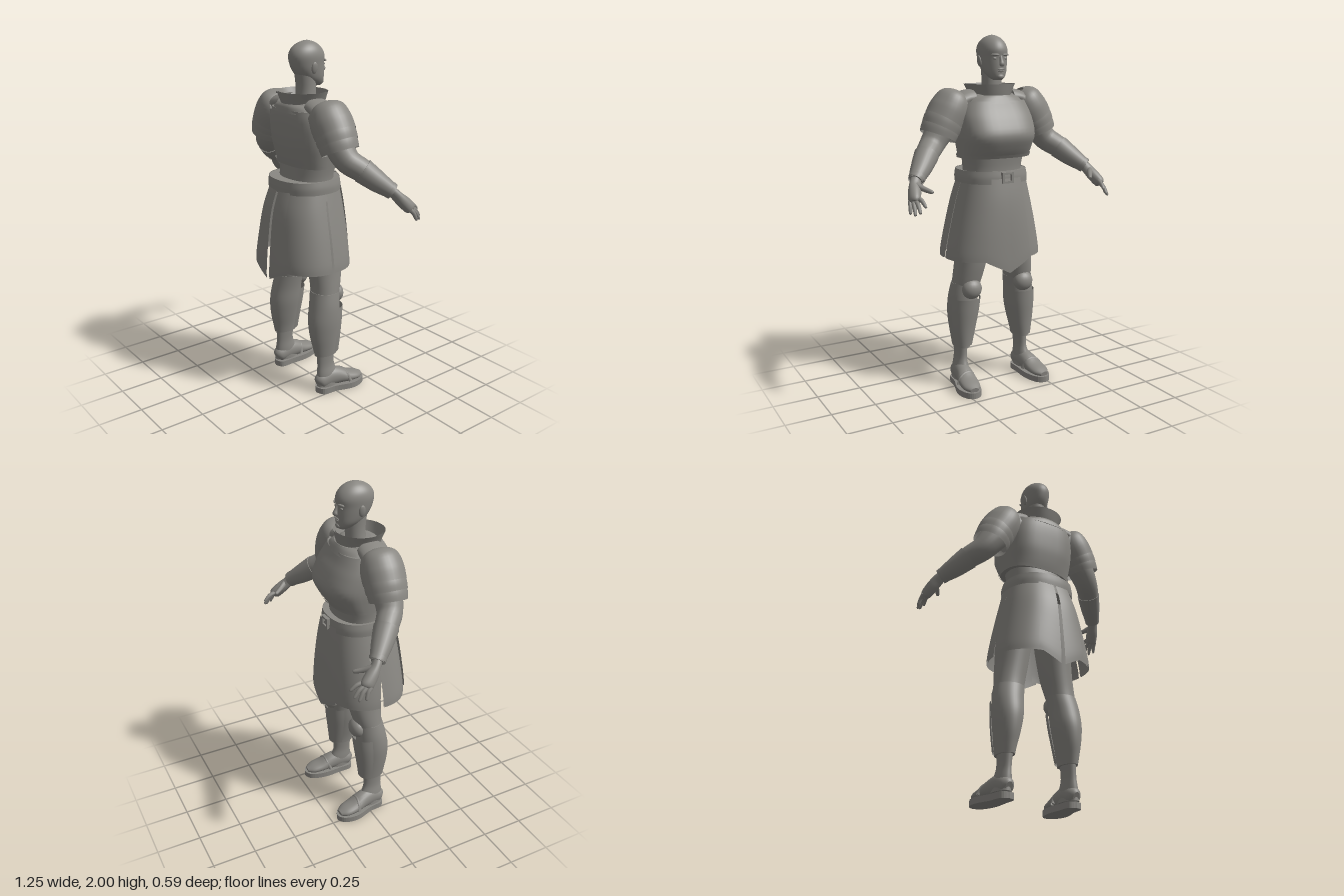
import * as THREE from 'three';

const grey = new THREE.MeshStandardMaterial({ color: 0x898782, side: THREE.DoubleSide });
grey.name = 'plain grey';
const V = (x, y, z) => new THREE.Vector3(x, y, z);
const rad = THREE.MathUtils.degToRad;

// Catmull-Rom subdivision of rows of numbers
function smooth(rows, steps) {
  const out = [], last = rows.length - 1;
  const at = i => rows[Math.max(0, Math.min(last, i))];
  for (let i = 0; i < last; i++) for (let s = 0; s < steps; s++) {
    const t = s / steps, [a, b, c, d] = [at(i - 1), at(i), at(i + 1), at(i + 2)];
    out.push(b.map((_, k) => {
      const cubic = 3 * (b[k] - c[k]) + d[k] - a[k];
      const square = 2 * a[k] - 5 * b[k] + 4 * c[k] - d[k];
      return b[k] + 0.5 * t * (c[k] - a[k] + t * (square + t * cubic));
    }));
  }
  out.push(rows[last]);
  return out;
}

// Skin a stack of rings; full rings wrap round and may be capped
function skin(rings, closed, caps) {
  const pos = [], idx = [], n = rings[0].length;
  rings.forEach(r => r.forEach(p => pos.push(p.x, p.y, p.z)));
  for (let i = 0; i < rings.length - 1; i++) for (let j = 0; j < (closed ? n : n - 1); j++) {
    const k = (j + 1) % n, a = i * n + j, b = i * n + k;
    idx.push(a, b, b + n, a, b + n, a + n);
  }
  if (closed && caps) [0, rings.length - 1].forEach((ri, end) => {
    const base = pos.length / 3, mid = V(0, 0, 0);
    rings[ri].forEach(p => { pos.push(p.x, p.y, p.z); mid.addScaledVector(p, 1 / n); });
    pos.push(mid.x, mid.y, mid.z);
    for (let j = 0; j < n; j++) {
      const k = (j + 1) % n;
      idx.push(base + n, base + (end ? j : k), base + (end ? k : j));
    }
  });
  const g = new THREE.BufferGeometry();
  g.setAttribute('position', new THREE.Float32BufferAttribute(pos, 3));
  g.setIndex(idx);
  g.computeVertexNormals();
  return g;
}

// Upright form from rows [y, centreX, halfWidth, zFront, zBack, power]; angle 0 is the back (+z)
function hull(rows, { a0 = 0, a1 = 360, caps = true, steps = 4, n = 40 } = {}) {
  const closed = a1 - a0 >= 360, upward = [...rows].sort((a, b) => a[0] - b[0]);
  const rings = smooth(upward, steps).map(([y, cx, w, zf, zb, p]) => Array.from({ length: n }, (_, j) => {
    const a = rad(a0 + (a1 - a0) * j / (closed ? n : n - 1)), c = Math.cos(a), s = Math.sin(a);
    const f = v => Math.sign(v) * Math.abs(v) ** (2 / p);
    return V(cx + w * f(s), y, (zf + zb) / 2 + (zb - zf) / 2 * f(c));
  }));
  return skin(rings, closed, caps);
}

// Tapering form along a path, rows [x, y, z, radius, depthRadius]; depth is measured towards ref
function limb(rows, { caps = true, steps = 4, n = 24, ref = V(0, 0, 1) } = {}) {
  const r = smooth(rows, steps), c = r.map(q => V(q[0], q[1], q[2]));
  const rings = r.map((q, i) => {
    const d = c[Math.min(i + 1, c.length - 1)].clone().sub(c[Math.max(i - 1, 0)]).normalize();
    const v = ref.clone().addScaledVector(d, -d.dot(ref)).normalize();
    const u = v.clone().cross(d);
    return Array.from({ length: n }, (_, j) => {
      const a = j / n * Math.PI * 2;
      return c[i].clone().addScaledVector(u, Math.cos(a) * q[3]).addScaledVector(v, Math.sin(a) * (q[4] ?? q[3]));
    });
  });
  return skin(rings, true, caps);
}

export function createModel() {
  const root = new THREE.Group();
  root.name = 'armouredFigure';
  const add = (name, geo, parent = root) => {
    const m = new THREE.Mesh(geo, grey);
    m.name = name;
    parent.add(m);
    return m;
  };
  const ball = (name, x, y, z, rx, ry, rz, parent) => {
    const m = add(name, new THREE.SphereGeometry(1, 20, 14), parent);
    m.position.set(x, y, z);
    m.scale.set(rx, ry, rz);
    return m;
  };

  // Head and neck, face towards -z
  add('neck', hull([[1.6, 0, .075, -.04, .1, 2], [1.68, 0, .06, -.03, .085, 2], [1.75, 0, .055, -.03, .08, 2], [1.83, 0, .057, -.03, .09, 2]]));
  add('head', hull([[1.757, 0, .022, -.07, -.02, 2], [1.772, 0, .042, -.082, .02, 2], [1.80, 0, .06, -.083, .065, 2.1],
    [1.84, 0, .07, -.083, .102, 2.1], [1.88, 0, .075, -.082, .12, 2.1], [1.92, 0, .077, -.085, .127, 2.1],
    [1.955, 0, .068, -.07, .115, 2], [1.982, 0, .046, -.04, .083, 2], [1.996, 0, .02, -.005, .045, 2], [2, 0, .004, .015, .025, 2]]));
  add('nose', limb([[0, 1.885, -.078, .008, .008], [0, 1.86, -.087, .010, .010], [0, 1.843, -.092, .015, .013], [0, 1.835, -.086, .01, .008]], { n: 14 }));
  ball('upperLip', 0, 1.815, -.082, .022, .006, .008);
  ball('lowerLip', 0, 1.805, -.081, .018, .006, .008);
  ball('chin', 0, 1.776, -.077, .02, .014, .012);
  for (const s of [-1, 1]) {
    ball('brow', s * .032, 1.893, -.075, .024, .007, .009).rotation.y = -s * .3;
    ball('eye', s * .031, 1.873, -.07, .013, .007, .008);
    ball('ear', s * .077, 1.86, .025, .009, .032, .019).rotation.z = -s * .15;
  }

  // Torso: collar, shoulders, breastplate and waist
  add('collar', hull([[1.645, 0, .112, -.07, .155, 2], [1.69, 0, .124, -.08, .172, 2], [1.735, 0, .146, -.088, .187, 2]], { caps: false }));
  add('collarLining', hull([[1.65, 0, .104, -.062, .147, 2], [1.69, 0, .116, -.072, .164, 2], [1.735, 0, .138, -.08, .179, 2]], { caps: false }));
  add('shoulders', hull([[1.5, 0, .21, -.13, .165, 2.5], [1.6, 0, .205, -.09, .165, 2.5], [1.65, 0, .18, -.07, .16, 2.3], [1.69, 0, .115, -.05, .14, 2], [1.7, 0, .07, -.03, .11, 2]]));
  add('breastplate', hull([[1.335, 0, .205, -.13, .145, 2.5], [1.39, 0, .212, -.165, .16, 2.6], [1.46, 0, .22, -.19, .174, 2.8],
    [1.54, 0, .22, -.158, .181, 2.8], [1.60, 0, .21, -.122, .182, 2.7], [1.645, 0, .193, -.098, .178, 2.6]]));
  add('breastplateHem', hull([[1.335, 0, .211, -.136, .151, 2.5], [1.352, 0, .213, -.146, .156, 2.5]], { caps: false }));
  add('neckPlate', hull([[1.63, 0, .185, -.107, .183, 2.6], [1.66, 0, .16, -.09, .175, 2.4], [1.675, 0, .13, -.08, .165, 2.2]]));
  add('waist', hull([[1.2, 0, .175, -.11, .16, 2.2], [1.27, 0, .172, -.105, .15, 2.2], [1.36, 0, .185, -.115, .14, 2.3]]));

  // Belt with an open buckle
  add('belt', hull([[1.195, 0, .203, -.15, .222, 2.3], [1.23, 0, .203, -.15, .224, 2.3], [1.265, 0, .196, -.145, .222, 2.3]], { caps: false }));
  add('beltTop', hull([[1.262, 0, .196, -.145, .222, 2.3], [1.26, 0, .165, -.1, .15, 2.3]], { caps: false, steps: 1 }));
  const frame = new THREE.Shape([[-.035, -.03], [.035, -.03], [.035, .03], [-.035, .03]].map(p => new THREE.Vector2(...p)));
  frame.holes.push(new THREE.Path([[-.022, -.018], [-.022, .018], [.022, .018], [.022, -.018]].map(p => new THREE.Vector2(...p))));
  add('buckle', new THREE.ExtrudeGeometry(frame, { depth: .02, bevelEnabled: false })).position.set(0, 1.23, -.166);

  // Skirt: four lined side panels, and split front and back flaps with pointed hems
  const skirt = o => [[1.225, 0, .19 + o, -.138 - o, .2 + o, 2.4], [1.1, 0, .222 + o, -.158 - o, .243 + o, 2.4],
    [.95, 0, .257 + o, -.172 - o, .266 + o, 2.4], [.82, 0, .283 + o, -.178 - o, .28 + o, 2.4], [.765, 0, .289 + o, -.178 - o, .281 + o, 2.4]];
  const panel = (name, a0, a1, o, pointed) => {
    const g = hull(skirt(o), { a0, a1, n: 18 }), p = g.attributes.position;
    if (pointed) for (let i = 0; i < p.count; i++) {
      const y = p.getY(i);
      if (y < 1) p.setY(i, y - .07 * Math.max(0, 1 - Math.abs(p.getX(i)) / .14) * (1 - y) / .235);
    }
    g.computeVertexNormals();
    add(name, g);
  };
  for (const [a0, a1] of [[17, 88.5], [91.5, 163]]) for (const o of [0, -.008]) {
    panel('leftSkirtPanel', a0, a1, o);
    panel('rightSkirtPanel', 360 - a1, 360 - a0, o);
  }
  panel('leftBackFlap', 1.2, 24, .013, true);
  panel('rightBackFlap', 336, 358.8, .013, true);
  panel('leftFrontFlap', 157, 181, .017, true);
  panel('rightFrontFlap', 179.5, 203, .012, true);

  for (const s of [-1, 1]) {
    const side = new THREE.Group();
    side.name = s > 0 ? 'leftLimbs' : 'rightLimbs';
    root.add(side);
    const arm = (name, rows, opt) => add(name, limb(rows.map(([x, ...r]) => [s * x, ...r]), opt), side);
    const leg = (name, rows, opt) => add(name, hull(rows.map(([y, x, ...r]) => [y, s * x, ...r]), opt), side);

    // Arm and overlapping shoulder plates
    arm('arm', [[.17, 1.62, .05, .09], [.25, 1.57, .05, .088], [.32, 1.475, .047, .077], [.37, 1.41, .03, .068], [.425, 1.365, -.02, .062], [.48, 1.31, -.075, .05], [.54, 1.255, -.135, .033]]);
    arm('shoulderCap', [[.2, 1.698, .05, .02, .03], [.208, 1.685, .05, .06, .075], [.225, 1.655, .05, .093, .103], [.25, 1.6, .05, .111, .116], [.285, 1.54, .048, .112, .115]], { caps: false, n: 32 });
    arm('middleShoulderPlate', [[.268, 1.57, .05, .105, .108], [.29, 1.53, .049, .111, .112], [.307, 1.497, .048, .107, .11]], { caps: false, n: 32 });
    arm('lowerShoulderPlate', [[.29, 1.53, .05, .1, .104], [.31, 1.49, .049, .106, .106], [.325, 1.455, .047, .102, .102]], { caps: false, n: 32 });
    arm('innerShoulderPlate', [[.12, 1.66, .05, .05, .08], [.17, 1.655, .05, .045, .085], [.23, 1.62, .05, .06, .09]]);
    arm('bracer', [[.425, 1.365, -.02, .067], [.48, 1.31, -.075, .057], [.53, 1.265, -.125, .043]]);
    arm('wristBand', [[.526, 1.268, -.122, .046], [.538, 1.257, -.134, .043]], { caps: false });

    // Hand with fingers spread
    arm('palm', [[.535, 1.26, -.13, .03, .026], [.55, 1.235, -.15, .033, .026], [.566, 1.205, -.178, .034, .034], [.583, 1.17, -.213, .03, .036], [.588, 1.158, -.223, .02, .028]]);
    const fingers = [[.567, 1.178, -.228, .557, 1.143, -.292], [.58, 1.165, -.226, .583, 1.113, -.285],
      [.592, 1.16, -.217, .603, 1.102, -.267], [.602, 1.16, -.202, .616, 1.106, -.235]];
    for (const [x, y, z, X, Y, Z] of fingers) {
      arm('finger', [[x, y, z, .013], [(x + X) / 2, (y + Y) / 2 + .006, (z + Z) / 2 - .003, .0115], [X, Y, Z, .008], [X, Y - .003, Z - .003, .002]], { n: 10 });
    }
    arm('thumb', [[.55, 1.235, -.165, .018], [.522, 1.217, -.205, .014], [.497, 1.205, -.242, .01], [.494, 1.203, -.247, .003]], { n: 10 });

    // Leg, bound calf and ankle
    leg('thigh', [[1.15, .1, .09, -.1, .13, 2], [.95, .125, .098, -.11, .12, 2], [.76, .147, .09, -.092, .105, 2.1], [.66, .163, .085, -.072, .1, 2.1], [.6, .173, .082, -.055, .102, 2]]);
    leg('calf', [[.62, .17, .086, -.058, .104, 2], [.54, .183, .086, -.055, .122, 2], [.45, .189, .082, -.052, .138, 2], [.36, .194, .068, -.045, .134, 2], [.28, .198, .053, -.04, .118, 2], [.235, .199, .046, -.036, .108, 2]]);
    leg('ankle', [[.25, .2, .036, -.02, .098, 2], [.17, .203, .032, -.018, .094, 2], [.11, .207, .04, -.04, .098, 2], [.04, .21, .045, -.06, .1, 2]]);

    // Shin guard round the front, and knee guard
    leg('shinGuard', [[.53, .18, .088, -.077, .12, 2.1], [.45, .186, .085, -.07, .12, 2.1], [.35, .193, .072, -.058, .11, 2.1], [.25, .198, .054, -.048, .1, 2.1]], { a0: 100, a1: 260, n: 24 });
    ball('kneeGuard', s * .17, .59, -.05, .06, .058, .046, side);

    // Foot: shaped sole, rounded upper and crossing strap
    const edge = [[.205, -.105], [.165, -.08], [.162, 0], [.16, .1], [.185, .185], [.235, .212], [.278, .18], [.292, .1], [.262, 0], [.25, -.08], [.205, -.105]];
    const curve = new THREE.SplineCurve(edge.map(([x, d]) => new THREE.Vector2(s * x, d)));
    const sole = new THREE.ExtrudeGeometry(new THREE.Shape(curve.getPoints(48)), { depth: .034, bevelEnabled: false });
    add('sole', sole.rotateX(-Math.PI / 2), side);
    arm('foot', [[.207, .06, .1, .02, .025], [.207, .068, .08, .04, .045], [.21, .08, .02, .046, .06], [.216, .075, -.04, .05, .052],
      [.224, .06, -.1, .056, .035], [.23, .05, -.16, .05, .025], [.233, .045, -.197, .025, .014]], { ref: V(0, 1, 0) });
    const strap = new THREE.CatmullRomCurve3([V(s * .165, .045, -.06), V(s * .19, .095, -.075), V(s * .225, .103, -.075), V(s * .258, .085, -.08), V(s * .28, .045, -.09)]);
    add('strap', new THREE.TubeGeometry(strap, 20, .011, 8), side);
  }
  return root;
}
